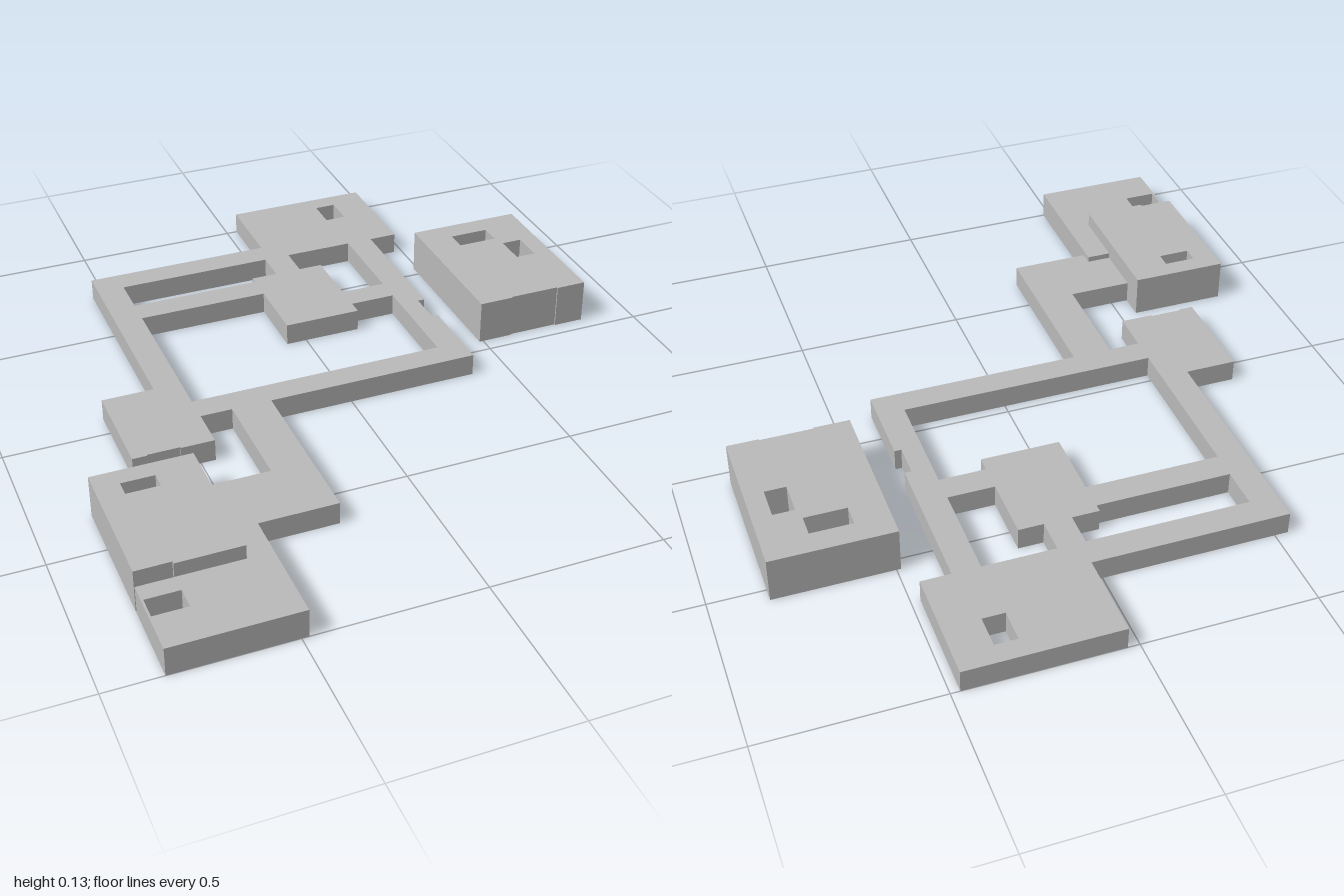
import * as THREE from 'three';

// Rectangle outline in plan, as [x, z] corners
const rect = (x0, x1, z0, z1) => [[x0, z0], [x1, z0], [x1, z1], [x0, z1]];

// Plan outlines are [x, z]; the shape's y axis is -z so the extrusion can be laid flat
const toPoints = (plan) => plan.map(([x, z]) => new THREE.Vector2(x, -z));

function block(name, height, material, outline, holes = []) {
  const shape = new THREE.Shape(toPoints(outline));
  // Holes wind against the outline so that their walls face into the opening
  for (const hole of holes) shape.holes.push(new THREE.Path(toPoints(hole).reverse()));
  const geometry = new THREE.ExtrudeGeometry(shape, { depth: height, bevelEnabled: false });
  geometry.rotateX(-Math.PI / 2);
  const mesh = new THREE.Mesh(geometry, material);
  mesh.name = name;
  return mesh;
}

export function createModel() {
  const grey = new THREE.MeshStandardMaterial({ color: 0xbbbbbb });
  grey.name = 'plain grey';
  const model = new THREE.Group();
  model.name = 'floorPlan';

  // Low corridors and rooms joined around open courtyards
  model.add(block('corridorsAndRooms', 0.066, grey, [
    [-0.539, -0.747], [0.033, -0.747], [0.033, -1], [0.474, -1], [0.474, -0.667], [0.388, -0.667],
    [0.388, -0.242], [0.368, -0.242], [0.368, -0.143], [0.388, -0.143], [0.388, 0.107],
    [-0.247, 0.107], [-0.247, 0.622], [-0.48, 0.622], [-0.48, 0.58], [-0.553, 0.58],
    [-0.553, 0.422], [-0.364, 0.422], [-0.364, 0.107], [-0.457, 0.107], [-0.457, 0.232],
    [-0.555, 0.232], [-0.555, 0.228], [-0.65, 0.228], [-0.65, 0.232],
    [-0.692, 0.232], [-0.692, -0.074], [-0.539, -0.074],
  ], [
    // back courtyard
    [[-0.457, -0.667], [0.018, -0.667], [0.018, -0.567], [-0.062, -0.567], [-0.062, -0.544], [-0.457, -0.544]],
    // side courtyard
    [[0.098, -0.667], [0.308, -0.667], [0.308, -0.38], [0.171, -0.38], [0.171, -0.567], [0.098, -0.567]],
    // main courtyard
    [[-0.457, -0.464], [-0.062, -0.464], [-0.062, -0.257], [0.171, -0.257], [0.171, -0.302],
      [0.308, -0.302], [0.308, 0.028], [-0.457, 0.028]],
    // shaft in the back room
    rect(0.303, 0.367, -0.941, -0.846),
  ]));

  // Tall detached room with two shafts
  model.add(block('detachedRoom', 0.133, grey, [
    [0.488, -0.539], [0.84, -0.539], [0.84, -0.048], [0.748, -0.048],
    [0.748, -0.052], [0.593, -0.052], [0.593, -0.048], [0.488, -0.048],
  ], [rect(0.589, 0.711, -0.47, -0.406), rect(0.722, 0.784, -0.368, -0.27)]));

  // Raised room, notched by a narrow slit at its front
  model.add(block('raisedRoom', 0.125, grey, [
    [-0.84, 0.346], [-0.553, 0.346], [-0.553, 0.764], [-0.74, 0.764], [-0.74, 0.756], [-0.84, 0.756],
  ], [rect(-0.77, -0.675, 0.403, 0.451)]));

  // Lower front room wrapping the raised room's corner
  model.add(block('frontRoom', 0.083, grey, [
    [-0.553, 0.58], [-0.48, 0.58], [-0.48, 1], [-0.84, 1], [-0.84, 0.764], [-0.553, 0.764],
  ], [rect(-0.834, -0.738, 0.817, 0.881)]));

  return model;
}
